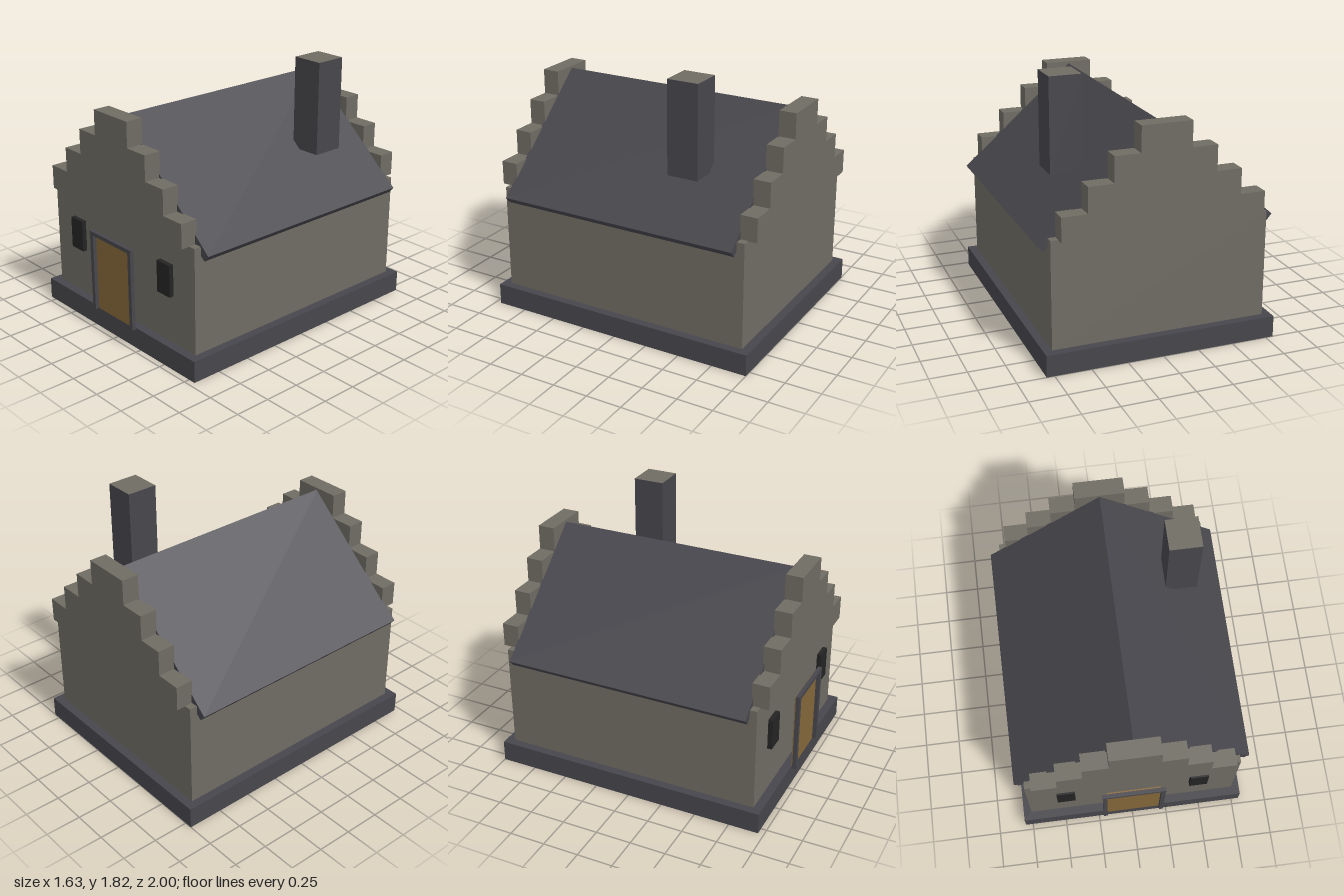
import * as THREE from 'three';

const material = (name, color) => {
  const m = new THREE.MeshStandardMaterial({ color });
  m.name = name;
  return m;
};

export function createModel() {
  const house = new THREE.Group();
  house.name = 'house';

  const stone = material('stone', 0x6f6c63);
  const slate = material('slate', 0x47464c);
  const wood = material('wood', 0x84673b);
  const glass = material('darkGlass', 0x242424);

  const add = (name, geometry, mat) => {
    const mesh = new THREE.Mesh(geometry, mat);
    mesh.name = name;
    house.add(mesh);
    return mesh;
  };

  // Box given by its limits on each axis
  const box = (name, mat, [x0, x1], [y0, y1], [z0, z1]) => {
    const mesh = add(name, new THREE.BoxGeometry(x1 - x0, y1 - y0, z1 - z0), mat);
    mesh.position.set((x0 + x1) / 2, (y0 + y1) / 2, (z0 + z1) / 2);
    return mesh;
  };

  // Outline in x and y, extruded from z0 to z1
  const slab = (name, mat, points, z0, z1) => {
    const shape = new THREE.Shape(points.map(([x, y]) => new THREE.Vector2(x, y)));
    const geometry = new THREE.ExtrudeGeometry(shape, { depth: z1 - z0, bevelEnabled: false });
    geometry.translate(0, 0, z0);
    return add(name, geometry, mat);
  };

  // Plinth and walls
  box('plinth', slate, [-0.803, 0.803], [0, 0.15], [-1, 0.96]);
  box('walls', stone, [-0.745, 0.745], [0.15, 0.89], [-0.94, 0.9]);

  // Stepped gables
  const steps = [[0.693, 1.055], [0.52, 1.23], [0.347, 1.405], [0.172, 1.58]];
  const half = [];
  let y = 0.887;
  for (const [x, top] of steps) {
    half.push([x, y], [x, top]);
    y = top;
  }
  const outline = [...half, ...half.map(([x, h]) => [-x, h]).reverse()];
  slab('frontGable', stone, outline, 0.84, 0.96);
  slab('backGable', stone, outline, -1, -0.88);

  // Roof slopes, meeting at the ridge
  for (const [name, s] of [['leftRoof', 1], ['rightRoof', -1]]) {
    slab(name, slate, [[0, 1.565], [0, 1.49], [s * 0.778, 0.802], [s * 0.815, 0.845]], -0.885, 0.85);
  }

  // Chimney with a stone top face
  box('chimney', [slate, slate, stone, slate, slate, slate], [0.384, 0.605], [1.172, 1.815], [-0.528, -0.308]);

  // Door and its frame
  box('door', wood, [-0.192, 0.19], [0.15, 0.7], [0.956, 0.972]);
  for (const [name, s] of [['leftDoorPost', 1], ['rightDoorPost', -1]]) {
    const xs = [s * 0.19, s * 0.22].sort((a, b) => a - b);
    box(name, slate, xs, [0.15, 0.703], [0.972, 1]);
  }
  box('lintel', slate, [-0.224, 0.222], [0.7, 0.728], [0.972, 1]);

  // Windows beside the door
  box('leftWindow', glass, [0.407, 0.534], [0.488, 0.71], [0.895, 0.932]);
  box('rightWindow', glass, [-0.537, -0.409], [0.488, 0.71], [0.895, 0.932]);

  return house;
}
